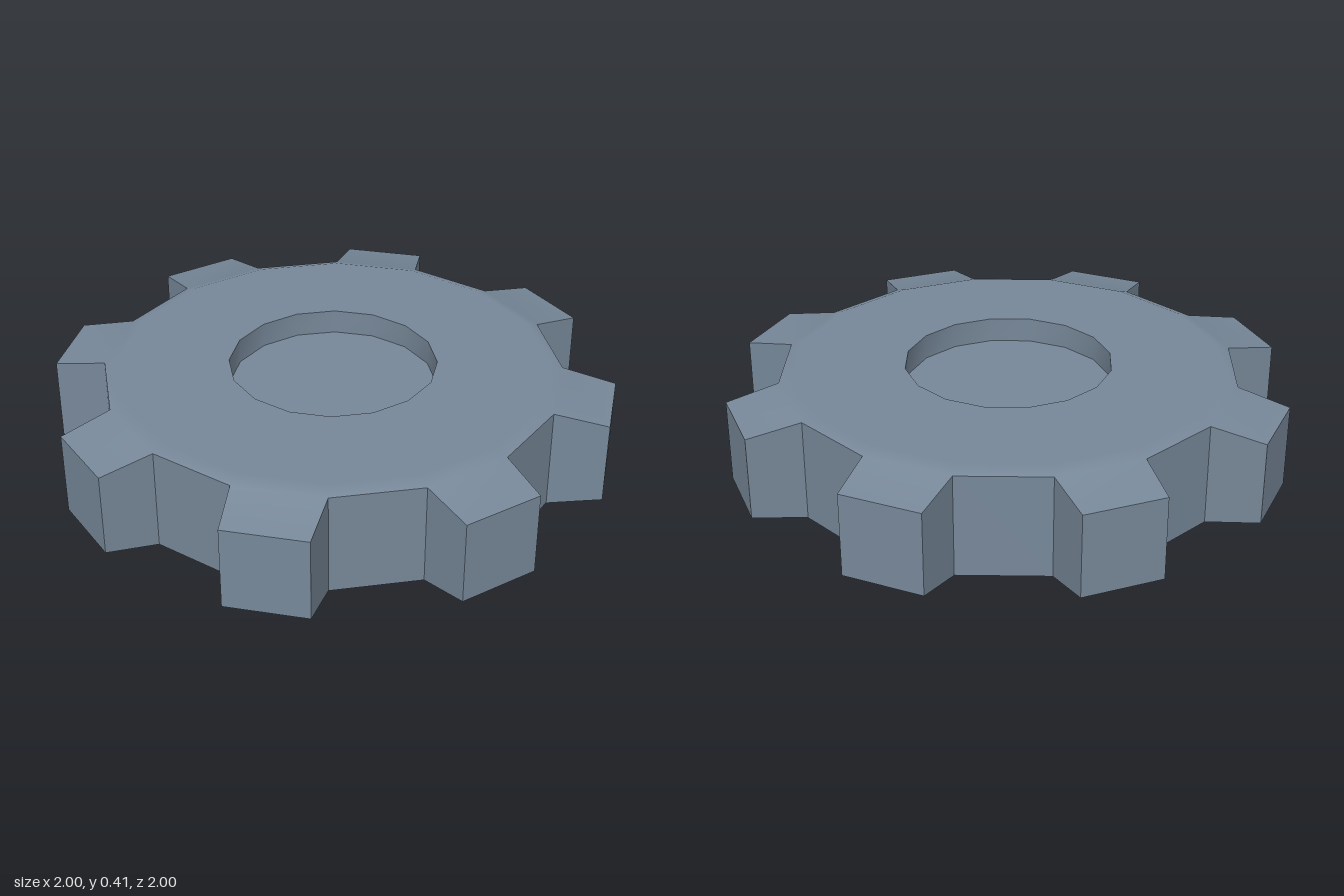
import * as THREE from 'three';
import { toCreasedNormals } from 'three/addons/utils/BufferGeometryUtils.js';

const SIDES = 16;
const MID = 0.2025; // half the thickness; heights below are measured from this plane

const steel = new THREE.MeshStandardMaterial({ color: 0x778899 });
steel.name = 'blue grey steel';

// Corner k of a 16-sided ring, counted clockwise from the back
function ringPoint(r, h, k) {
  const a = ((k % SIDES) / SIDES) * Math.PI * 2;
  return [r * Math.sin(a), h, -r * Math.cos(a)];
}

// Collects faces for the upper half and mirrors them to the lower half
function createBuilder() {
  const positions = [];
  const flip = ([x, y, z]) => [x, -y, z];
  const polygon = (pts) => {
    for (let i = 1; i < pts.length - 1; i++) {
      for (const [x, y, z] of [pts[0], pts[i], pts[i + 1]]) positions.push(x, y + MID, z);
    }
  };
  return {
    both(...pts) {
      polygon(pts);
      polygon(pts.map(flip).reverse());
    },
    wall(p, q) {
      polygon([flip(p), p, q, flip(q)]);
    },
    // band between two rings, inner first
    band(k, [r0, h0], [r1, h1]) {
      this.both(ringPoint(r0, h0, k), ringPoint(r0, h0, k + 1),
        ringPoint(r1, h1, k + 1), ringPoint(r1, h1, k));
    },
    geometry() {
      const g = new THREE.BufferGeometry();
      g.setAttribute('position', new THREE.Float32BufferAttribute(positions, 3));
      return toCreasedNormals(g, 0.45);
    },
  };
}

// Sunken round recess on both faces
const LIP = [0.37, MID];
const FLOOR = [0.37, MID - 0.09];

function recessGeometry() {
  const b = createBuilder();
  for (let k = 0; k < SIDES; k++) {
    b.both([0, FLOOR[1], 0], ringPoint(...FLOOR, k + 1), ringPoint(...FLOOR, k));
    b.band(k, FLOOR, LIP);
  }
  return b.geometry();
}

// Flat faces, bevelled rim, and a tapered tooth on every second side
const FLAT = [0.765, MID];
const RIM = [0.815, 0.184];

function toothedRimGeometry() {
  const b = createBuilder();
  const tipHeight = 0.15, toothLength = 0.191, inset = 0.013;
  for (let k = 0; k < SIDES; k++) {
    b.band(k, LIP, FLAT);
    b.band(k, FLAT, RIM);
    const p = ringPoint(...RIM, k), q = ringPoint(...RIM, k + 1);
    if (k % 2) {
      b.wall(p, q);
      continue;
    }
    const a = ((k + 0.5) / SIDES) * Math.PI * 2;
    const out = [Math.sin(a), -Math.cos(a)];
    const tip = ([x, , z], side) => [
      x + out[0] * toothLength - out[1] * side * inset,
      tipHeight,
      z + out[1] * toothLength + out[0] * side * inset,
    ];
    const tipP = tip(p, 1), tipQ = tip(q, -1);
    b.both(p, q, tipQ, tipP);
    b.wall(p, tipP);
    b.wall(tipP, tipQ);
    b.wall(tipQ, q);
  }

  // Keep the flat faces evenly shaded where they blend into the bevel
  const g = b.geometry();
  const { position, normal } = g.attributes;
  for (let i = 0; i < position.count; i++) {
    const h = position.getY(i) - MID;
    if (Math.abs(h) > MID - 0.001) normal.setXYZ(i, 0, Math.sign(h), 0);
  }
  return g;
}

export function createModel() {
  const gear = new THREE.Group();
  gear.name = 'gear';
  const parts = { toothedRim: toothedRimGeometry(), centreRecess: recessGeometry() };
  for (const [name, geometry] of Object.entries(parts)) {
    const mesh = new THREE.Mesh(geometry, steel);
    mesh.name = name;
    gear.add(mesh);
  }
  return gear;
}
